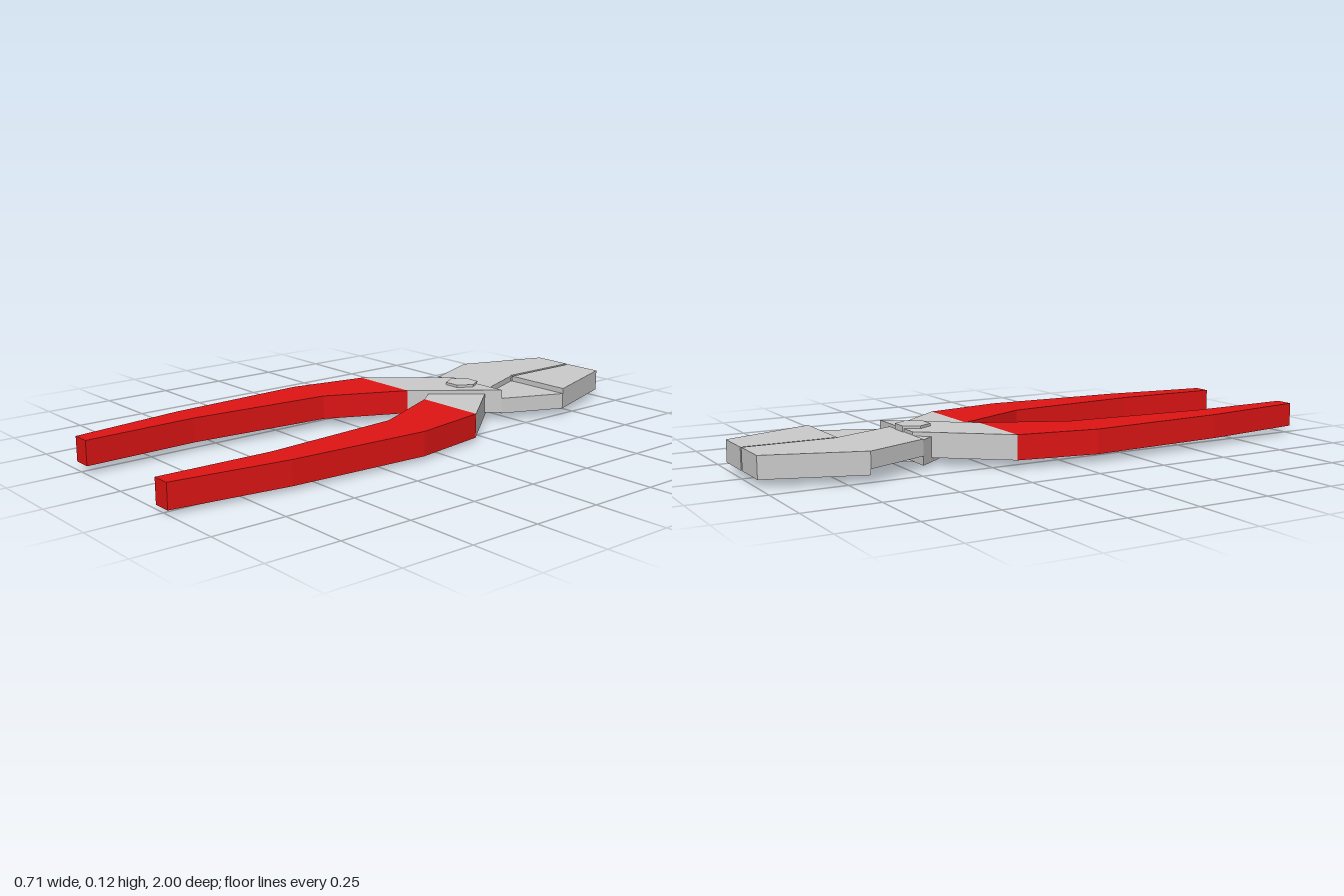
import * as THREE from 'three';

const steel = new THREE.MeshStandardMaterial({ color: 0xcccccc, flatShading: true });
const red = new THREE.MeshStandardMaterial({ color: 0xe01515, flatShading: true });

const MID = 0.063; // height of the plane the two halves are flipped about

// Flat plate: outline of [x, z] points raised from y0 to y1
function plate(name, points, y0, y1, material) {
  const shape = new THREE.Shape(points.map(([x, z]) => new THREE.Vector2(x, -z)));
  const geometry = new THREE.ExtrudeGeometry(shape, { depth: y1 - y0, bevelEnabled: false });
  geometry.rotateX(-Math.PI / 2).translate(0, y0 - MID, 0);
  const mesh = new THREE.Mesh(geometry, material);
  mesh.name = name;
  return mesh;
}

// One lever: grip on -x, crossing the pivot to its jaw on +x
function lever(name) {
  const half = new THREE.Group();
  half.name = name;
  half.add(
    plate('grip', [
      [-0.307, -0.19], [-0.355, 0.09], [-0.328, 0.6], [-0.275, 1],
      [-0.21, 1], [-0.22, 0.6], [-0.178, 0.09], [-0.046, -0.19],
    ], 0.028, 0.112, red),
    plate('pivotArm', [
      [-0.307, -0.19], [-0.046, -0.19], [0, -0.25], [0.122, -0.4],
      [0.168, -0.457], [-0.09, -0.457],
    ], 0.028, 0.112, steel),
    plate('jawBase', [
      [-0.09, -0.457], [0.168, -0.457], [0.262, -0.68], [0, -0.68],
    ], 0.025, 0.081, steel),
    plate('jawTip', [
      [0.005, -0.68], [0.262, -0.68], [0.15, -1], [0.005, -1],
    ], 0.025, 0.1, steel),
  );
  half.position.y = MID;
  return half;
}

export function createModel() {
  const model = new THREE.Group();
  model.name = 'pliers';

  // Two identical levers, the second flipped over
  const upper = lever('upperLever');
  const lower = lever('lowerLever');
  lower.rotation.z = Math.PI;
  model.add(upper, lower);

  // Hexagonal pivot bolt through both levers, corners pointing along x
  const bolt = new THREE.Mesh(new THREE.CylinderGeometry(0.059, 0.059, 0.121, 6), steel);
  bolt.name = 'pivotBolt';
  bolt.rotation.y = Math.PI / 6;
  bolt.position.set(0.007, 0.0605, -0.41);
  model.add(bolt);

  return model;
}
